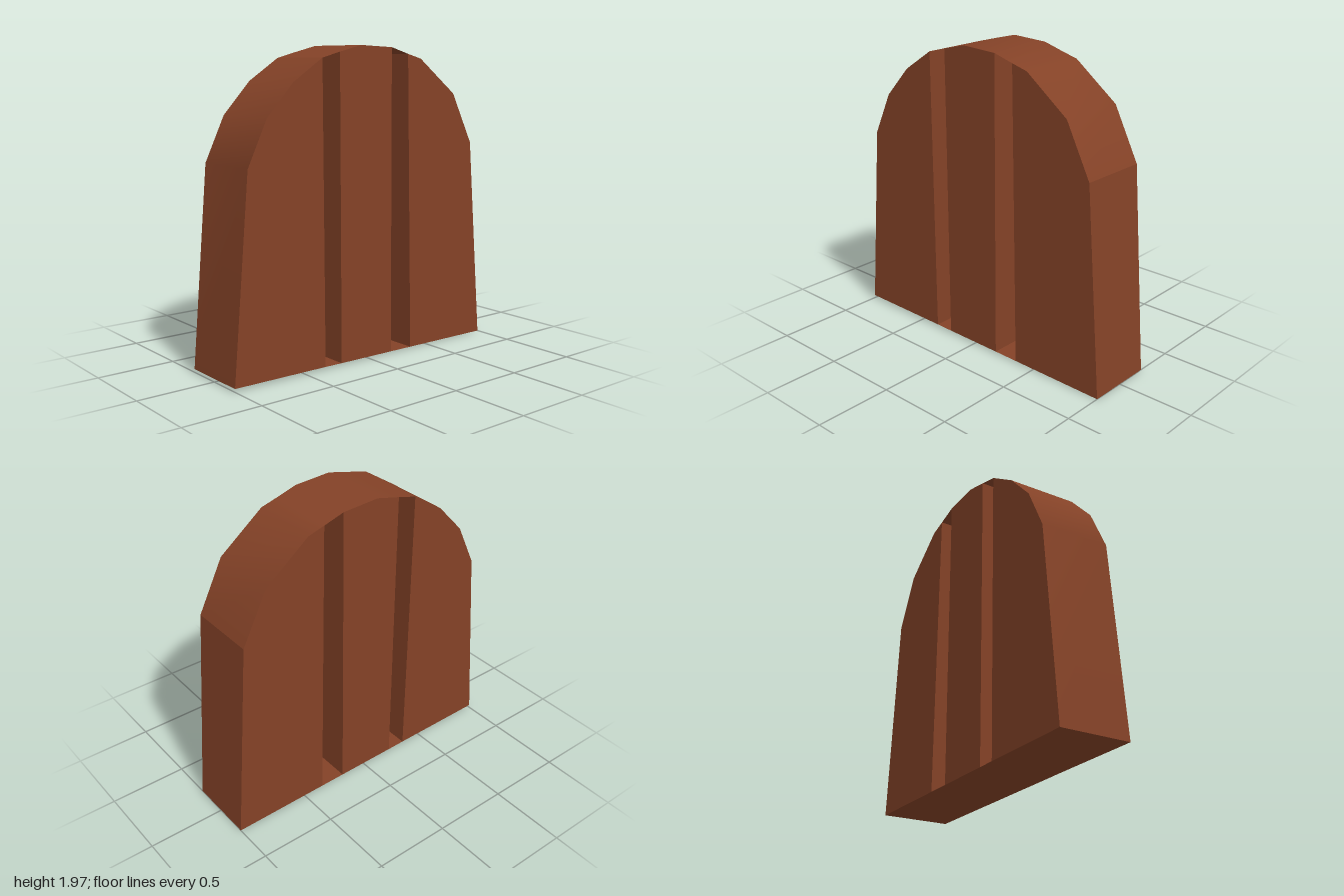
import * as THREE from 'three';

const W = 0.228; // half thickness

export function createModel() {
  const wood = new THREE.MeshStandardMaterial({ color: 0x844227, side: THREE.DoubleSide });
  wood.name = 'brown wood';
  const model = new THREE.Group();
  model.name = 'archedBlock';

  const add = (name, geometry) => {
    const mesh = new THREE.Mesh(geometry, wood);
    mesh.name = name;
    model.add(mesh);
  };

  // Smooth sheet spanning the thickness, following [z, y] points
  const band = (name, points) => {
    const pos = [], index = [];
    points.forEach(([z, y], i) => {
      pos.push(-W, y, z, W, y, z);
      const a = i * 2;
      if (i) index.push(a - 2, a - 1, a + 1, a - 2, a + 1, a);
    });
    const g = new THREE.BufferGeometry();
    g.setAttribute('position', new THREE.Float32BufferAttribute(pos, 3));
    g.setIndex(index);
    g.computeVertexNormals();
    add(name, g);
  };

  // Flat plank faces on both sides
  const panels = (name, points) => {
    for (const s of [-1, 1]) {
      const shape = new THREE.Shape(points.map(([z, y]) => new THREE.Vector2(-s * z, y)));
      const g = new THREE.ShapeGeometry(shape);
      g.rotateY(s * Math.PI / 2);
      g.translate(s * W, 0, 0);
      add(name + (s > 0 ? 'Left' : 'Right'), g);
    }
  };

  // Outlines as [z, y]: tops run front to back, bases back to front
  const frontTop = [[1, 0.02], [0.893, 1.27], [0.76, 1.55], [0.575, 1.75], [0.363, 1.89]];
  const middleTop = [[0.232, 1.925], [0.07, 1.966], [-0.178, 1.955]];
  const backTop = [[-0.315, 1.915], [-0.425, 1.885], [-0.72, 1.66], [-0.888, 1.33]];
  const backFoot = [-1, 0];
  const frontBase = [0.347, 0.015], middleBase = [[-0.187, 0.009], [0.221, 0.013]];
  const backBase = [-0.358, 0.007];

  // Continuous shell around the planks
  band('frontShell', frontTop);
  band('topShell', [frontTop[4], ...middleTop, ...backTop]);
  band('backShell', [backTop[3], backFoot]);
  band('base', [backFoot, backBase, ...middleBase, frontBase, frontTop[0]]);

  // Planks
  panels('frontPlank', [...frontTop, frontBase]);
  panels('middlePlank', [...middleTop, ...middleBase]);
  panels('backPlank', [...backTop, backFoot, backBase]);

  // Groove walls between the planks
  band('frontPlankWall', [frontTop[4], frontBase]);
  band('middlePlankFrontWall', [middleBase[1], middleTop[0]]);
  band('middlePlankBackWall', [middleTop[2], middleBase[0]]);
  band('backPlankWall', [backBase, backTop[0]]);

  return model;
}
